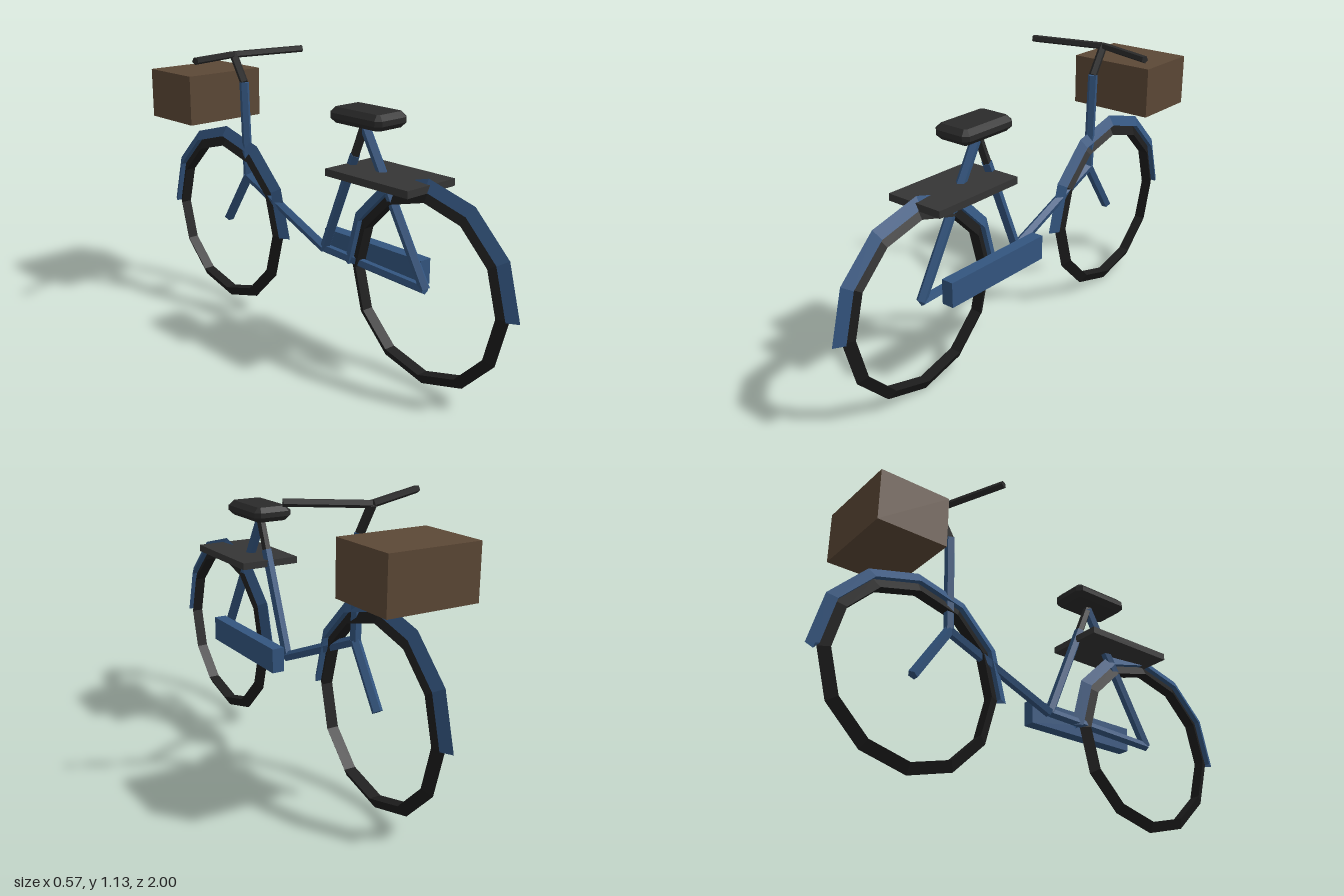
import * as THREE from 'three';

const mat = (color) => new THREE.MeshStandardMaterial({ color, flatShading: true });

export function createModel() {
  const bike = new THREE.Group();
  bike.name = 'bicycle';

  const blue = mat(0x33557f);
  const rubber = mat(0x1c1c1c);
  const dark = mat(0x2a2a2a);
  const rackGrey = mat(0x353535);
  const brown = mat(0x5c4836);
  const fenderBlue = mat(0x33557f);
  fenderBlue.side = THREE.DoubleSide;

  const add = (name, geometry, material) => {
    const mesh = new THREE.Mesh(geometry, material);
    mesh.name = name;
    bike.add(mesh);
    return mesh;
  };

  // Straight tube between two points
  const tube = (name, from, to, radius, material) => {
    const a = new THREE.Vector3(...from);
    const b = new THREE.Vector3(...to);
    const dir = b.clone().sub(a);
    const mesh = add(name, new THREE.CylinderGeometry(radius, radius, dir.length(), 5), material);
    mesh.position.copy(a).add(b).multiplyScalar(0.5);
    mesh.quaternion.setFromUnitVectors(new THREE.Vector3(0, 1, 0), dir.normalize());
  };

  // Box given by its minimum and maximum corners
  const box = (name, min, max, material) => {
    const size = max.map((v, i) => v - min[i]);
    const mesh = add(name, new THREE.BoxGeometry(...size), material);
    mesh.position.set(...max.map((v, i) => (v + min[i]) / 2));
  };

  // Wheels with triangular tyres, and half-round mudguards
  const axleY = 0.375;
  const axleZ = 0.583;
  for (const [side, z] of [['rear', axleZ], ['front', -axleZ]]) {
    const tyre = add(side + 'Tyre', new THREE.TorusGeometry(0.347, 0.028, 3, 12), rubber);
    const guard = add(side + 'Mudguard', new THREE.TorusGeometry(0.389, 0.028, 3, 6, Math.PI), fenderBlue);
    for (const part of [tyre, guard]) {
      part.rotation.y = Math.PI / 2;
      part.position.set(0, axleY, z);
    }
  }

  // Frame
  const rearAxle = [0, axleY, axleZ];
  const frontAxle = [0, axleY, -axleZ];
  const bottomBracket = [0, 0.395, 0.05];
  const seatTop = [0, 0.93, 0.265];
  const seatTubeTop = [0, 0.81, 0.217];
  const headBottom = [0, 0.6, -0.437];
  const headTop = [0, 1.0, -0.452];
  tube('downTube', bottomBracket, headBottom, 0.021, blue);
  tube('seatTube', bottomBracket, seatTubeTop, 0.021, blue);
  tube('chainStay', bottomBracket, rearAxle, 0.019, blue);
  tube('seatStay', rearAxle, seatTop, 0.021, blue);
  tube('headTube', headBottom, headTop, 0.021, blue);
  tube('fork', headBottom, frontAxle, 0.021, blue);
  tube('seatPost', seatTubeTop, [0, 0.95, 0.273], 0.018, dark);

  // Stem and swept-back handlebar
  const barCentre = [0, 1.11, -0.52];
  tube('stem', headTop, barCentre, 0.018, dark);
  for (const s of [-1, 1]) {
    tube(s > 0 ? 'leftHandlebar' : 'rightHandlebar', barCentre, [s * 0.28, 1.122, -0.402], 0.015, dark);
  }

  // Saddle: slab with every edge chamfered
  const w = 0.083, l = 0.133, c = 0.02;
  const outline = new THREE.Shape([
    [w, -l + c], [w, l - c], [w - c, l], [-w + c, l],
    [-w, l - c], [-w, -l + c], [-w + c, -l], [w - c, -l],
  ].map(([x, y]) => new THREE.Vector2(x, y)));
  const saddleGeometry = new THREE.ExtrudeGeometry(outline, {
    depth: 0.02, bevelThickness: c, bevelSize: c, bevelOffset: -c, bevelSegments: 1,
  });
  saddleGeometry.translate(0, 0, -0.01);
  saddleGeometry.rotateX(-Math.PI / 2);
  add('saddle', saddleGeometry, dark).position.set(0, 0.966, 0.28);

  // Rack, chain guard and front basket
  box('luggageRack', [-0.125, 0.745, 0.185], [0.125, 0.773, 0.597], rackGrey);
  box('chainGuard', [0.046, 0.355, 0], [0.097, 0.456, 0.52], blue);
  box('basket', [-0.185, 0.82, -0.87], [0.185, 1.028, -0.583], brown);

  return bike;
}
